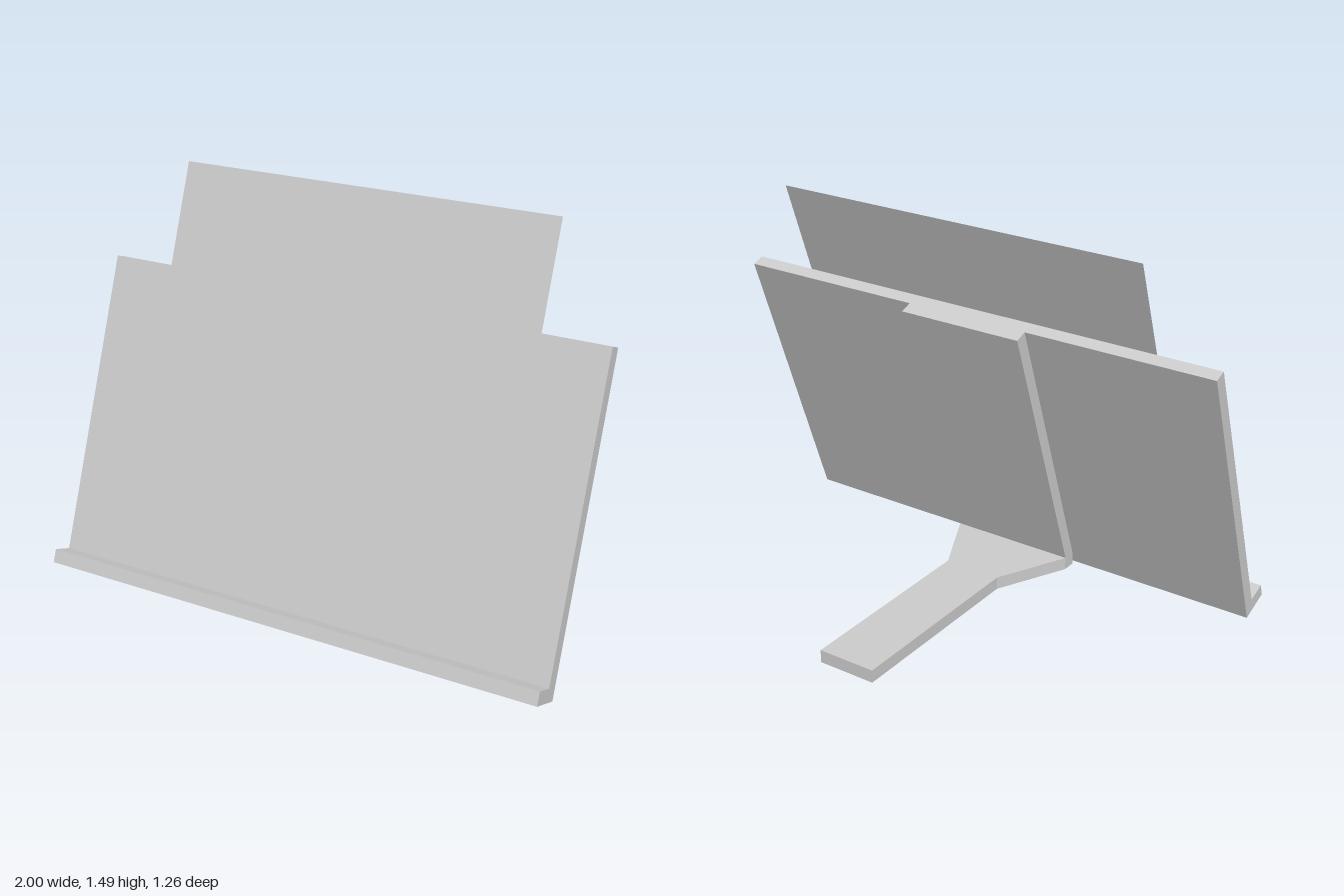
import * as THREE from 'three';

const material = new THREE.MeshStandardMaterial({ color: 0xcccccc, flatShading: true });
const sheetMaterial = new THREE.MeshStandardMaterial({ color: 0xcccccc, side: THREE.DoubleSide });

const TILT = THREE.MathUtils.degToRad(20);
const BASE = { z: 0.51, y: 0.005 }; // lower back corner of the backrest

// Point on the tilted backrest: u runs up the panel, v runs out of its front
function tilted(u, v) {
  return [
    BASE.z - u * Math.sin(TILT) + v * Math.cos(TILT),
    BASE.y + u * Math.cos(TILT) + v * Math.sin(TILT),
  ];
}

const shapeFrom = (points) => new THREE.Shape(points.map(([a, b]) => new THREE.Vector2(a, b)));

// Side profile of [z, y] points, extruded to a width centred on x = 0
function extrudeAcross(name, profile, width) {
  const geometry = new THREE.ExtrudeGeometry(shapeFrom(profile), { depth: width, bevelEnabled: false });
  geometry.translate(0, 0, -width / 2).rotateY(-Math.PI / 2);
  const mesh = new THREE.Mesh(geometry, material);
  mesh.name = name;
  return mesh;
}

export function createModel() {
  const group = new THREE.Group();
  group.name = 'displayStand';

  const panelHeight = 1.175;
  const thickness = 0.05;

  // Backrest and front lip share one L-shaped profile
  group.add(extrudeAcross('backrestWithLip', [
    tilted(0, 0), tilted(0, 0.128), tilted(thickness, 0.128),
    tilted(thickness, thickness), tilted(panelHeight, thickness), tilted(panelHeight, 0),
  ], 2));

  // Rib behind the backrest, cut level where it meets the foot
  group.add(extrudeAcross('backRib', [
    [0.494, 0.05], tilted(panelHeight, 0), tilted(panelHeight, -thickness), [0.441, 0.05],
  ].reverse(), 0.5));

  // Flat foot: wide under the rib, tapering to a narrow tail
  const half = [[0.25, 0.495], [0.25, 0.44], [0.115, 0.16], [0.115, -0.63]];
  const outline = [...half, ...half.map(([x, z]) => [-x, z]).reverse()];
  const footGeometry = new THREE.ExtrudeGeometry(
    shapeFrom(outline.map(([x, z]) => [x, -z])), { depth: 0.05, bevelEnabled: false });
  footGeometry.rotateX(-Math.PI / 2);
  const foot = new THREE.Mesh(footGeometry, material);
  foot.name = 'foot';
  group.add(foot);

  // Thin sheet resting on the lip against the backrest
  const sheetBottom = thickness, sheetTop = 1.562;
  const sheet = new THREE.Mesh(new THREE.PlaneGeometry(1.5, sheetTop - sheetBottom), sheetMaterial);
  const [z, y] = tilted((sheetBottom + sheetTop) / 2, thickness + 0.001);
  sheet.position.set(0, y, z);
  sheet.rotation.x = -TILT;
  sheet.name = 'sheet';
  group.add(sheet);

  return group;
}
